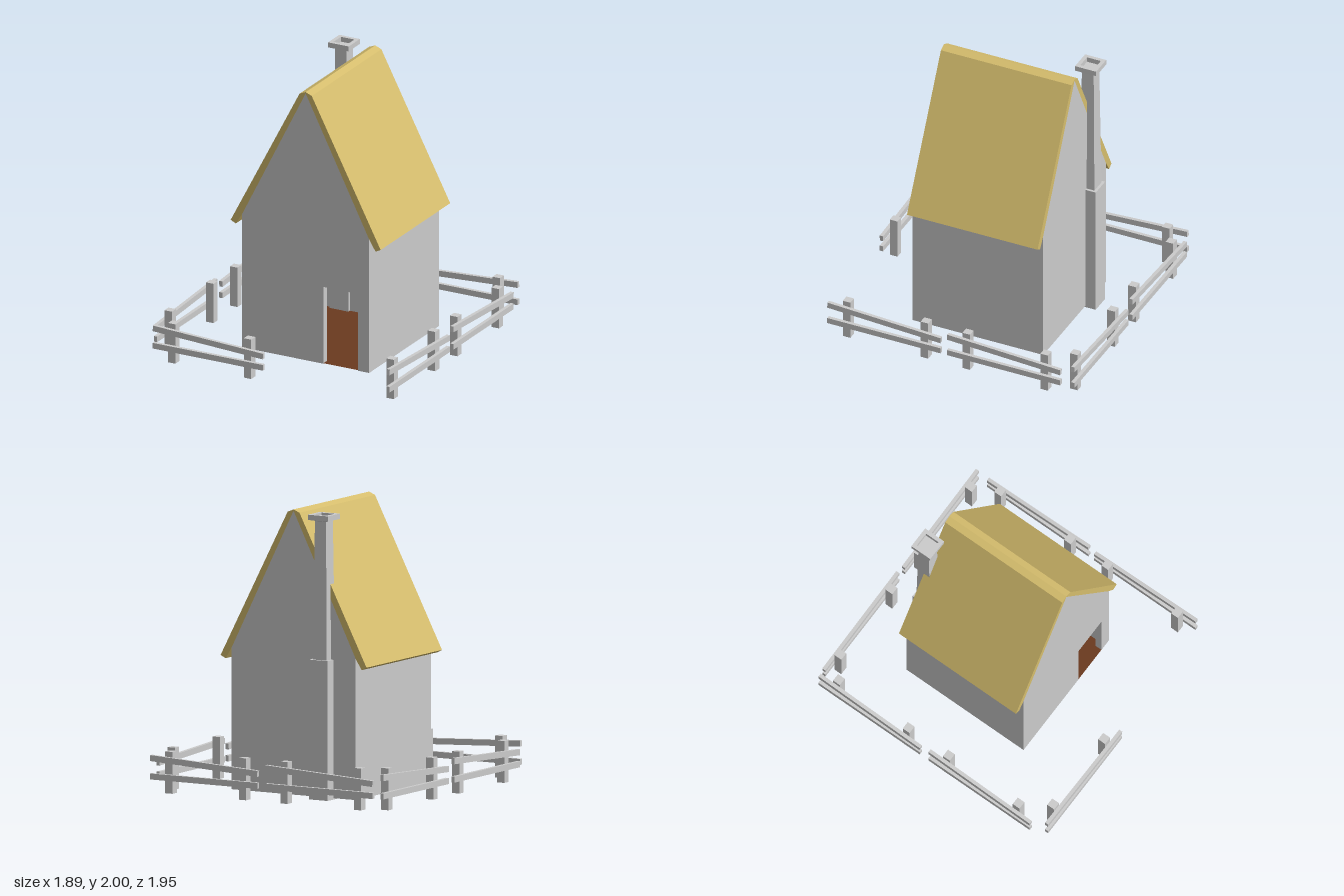
import * as THREE from 'three';

const grey = new THREE.MeshStandardMaterial({ color: 0xcccccc, flatShading: true });
const straw = new THREE.MeshStandardMaterial({ color: 0xd5bd6d, flatShading: true });
const earth = new THREE.MeshStandardMaterial({ color: 0x6b3a1f, side: THREE.DoubleSide });

const CX = 0.03, BACK = -0.55, FRONT = 0.45, BASE = 0.01, WALL = 0.05;

function add(parent, name, geometry, material = grey) {
  const mesh = new THREE.Mesh(geometry, material);
  mesh.name = name;
  parent.add(mesh);
  return mesh;
}

// Box given by its minimum and maximum corners
function boxBetween(x0, y0, z0, x1, y1, z1) {
  return new THREE.BoxGeometry(x1 - x0, y1 - y0, z1 - z0)
    .translate((x0 + x1) / 2, (y0 + y1) / 2, (z0 + z1) / 2);
}

// Outline in x and y, extruded along z
function slab(points, z, depth) {
  const shape = new THREE.Shape(points.map(([x, y]) => new THREE.Vector2(x, y)));
  return new THREE.ExtrudeGeometry(shape, { depth, bevelEnabled: false }).translate(0, 0, z);
}

// Square frustum with a square footprint
function taperedBox(bottom, top, height) {
  return new THREE.CylinderGeometry(top * Math.SQRT1_2, bottom * Math.SQRT1_2, height, 4)
    .rotateY(Math.PI / 4);
}

function createHouse() {
  const house = new THREE.Group();
  house.name = 'house';
  const l = CX - 0.5, r = CX + 0.5;
  const gable = [[r, 1.0], [CX, 1.99], [l, 1.0], [l, BASE]];
  const doorway = [[0.17, BASE], [0.17, 0.58], [0.44, 0.58], [0.44, BASE]];

  add(house, 'frontWall', slab([...gable, ...doorway, [r, BASE]], FRONT - WALL, WALL));
  add(house, 'backWall', slab([...gable, [r, BASE]], BACK, WALL));
  for (const [name, x] of [['leftWall', r - WALL], ['rightWall', l]]) {
    add(house, name, boxBetween(x, BASE, BACK + WALL, x + WALL, 1.0, FRONT - WALL));
  }

  // Floor seen through the doorway and from below
  const floor = add(house, 'floor', new THREE.PlaneGeometry(1 - 2 * WALL, 1 - WALL), earth);
  floor.rotation.x = -Math.PI / 2;
  floor.position.set(CX, BASE + 0.004, -0.025);

  // Roof: mirrored slopes with a small blunt ridge
  const outer = [[0.59, 0.94], [0.048, 1.98]];
  const inner = [[0.5, 1.0], [0.55, 0.92]];
  const side = (pts, s) => pts.map(([x, y]) => [CX + s * x, y]);
  const profile = [
    ...side(outer, 1), [CX, 2.0], ...side(outer, -1).reverse(),
    ...side(inner, -1).reverse(), [CX, 1.99], ...side(inner, 1),
  ];
  add(house, 'roof', slab(profile, BACK, 1), straw);
  return house;
}

function createChimney() {
  const chimney = new THREE.Group();
  chimney.name = 'chimney';
  chimney.position.set(-0.218, 0, -0.554);
  add(chimney, 'chimneyBase', boxBetween(-0.075, 0, -0.075, 0.075, 0.975, 0.075));
  add(chimney, 'chimneyStack', taperedBox(0.112, 0.09, 0.97)).position.y = 1.46;
  add(chimney, 'chimneyCollar', taperedBox(0.09, 0.12, 0.01)).position.y = 1.945;

  // Cap: square plate with a square flue opening
  const square = (h, Type) => new Type([[-h, -h], [h, -h], [h, h], [-h, h]]
    .map(([x, y]) => new THREE.Vector2(x, y)));
  const plate = square(0.081, THREE.Shape);
  plate.holes.push(square(0.053, THREE.Path));
  const cap = new THREE.ExtrudeGeometry(plate, { depth: 0.037, bevelEnabled: false });
  add(chimney, 'chimneyCap', cap.rotateX(-Math.PI / 2)).position.y = 1.949;
  return chimney;
}

// One fence panel: outer face towards +z, upper rail sagging to +x
function createFencePanel(x, z, turn) {
  const panel = new THREE.Group();
  panel.name = 'fencePanel';
  panel.position.set(x, 0, z);
  panel.rotation.y = turn;
  const rail = new THREE.BoxGeometry(0.867, 0.042, 0.026);
  add(panel, 'lowerRail', rail).position.y = 0.122;
  const upper = add(panel, 'upperRail', rail);
  upper.position.y = 0.228;
  upper.rotation.z = -0.052;
  for (const px of [-0.298, 0.298]) {
    add(panel, 'fencePost', boxBetween(px - 0.029, BASE, -0.072, px + 0.029, 0.302, -0.013));
  }
  return panel;
}

export function createModel() {
  const model = new THREE.Group();
  model.name = 'cottage';
  model.add(createHouse(), createChimney());

  // Fence around the plot, with a gap before the door
  const fence = new THREE.Group();
  fence.name = 'fence';
  const q = Math.PI / 2;
  const panels = [
    [-0.457, 0.954, 0],
    [0.928, 0.473, q], [0.928, -0.443, q],
    [0.495, -0.966, 2 * q], [-0.436, -0.966, 2 * q],
    [-0.933, -0.523, -q], [-0.933, 0.417, -q],
  ];
  for (const p of panels) fence.add(createFencePanel(...p));
  model.add(fence);
  return model;
}
